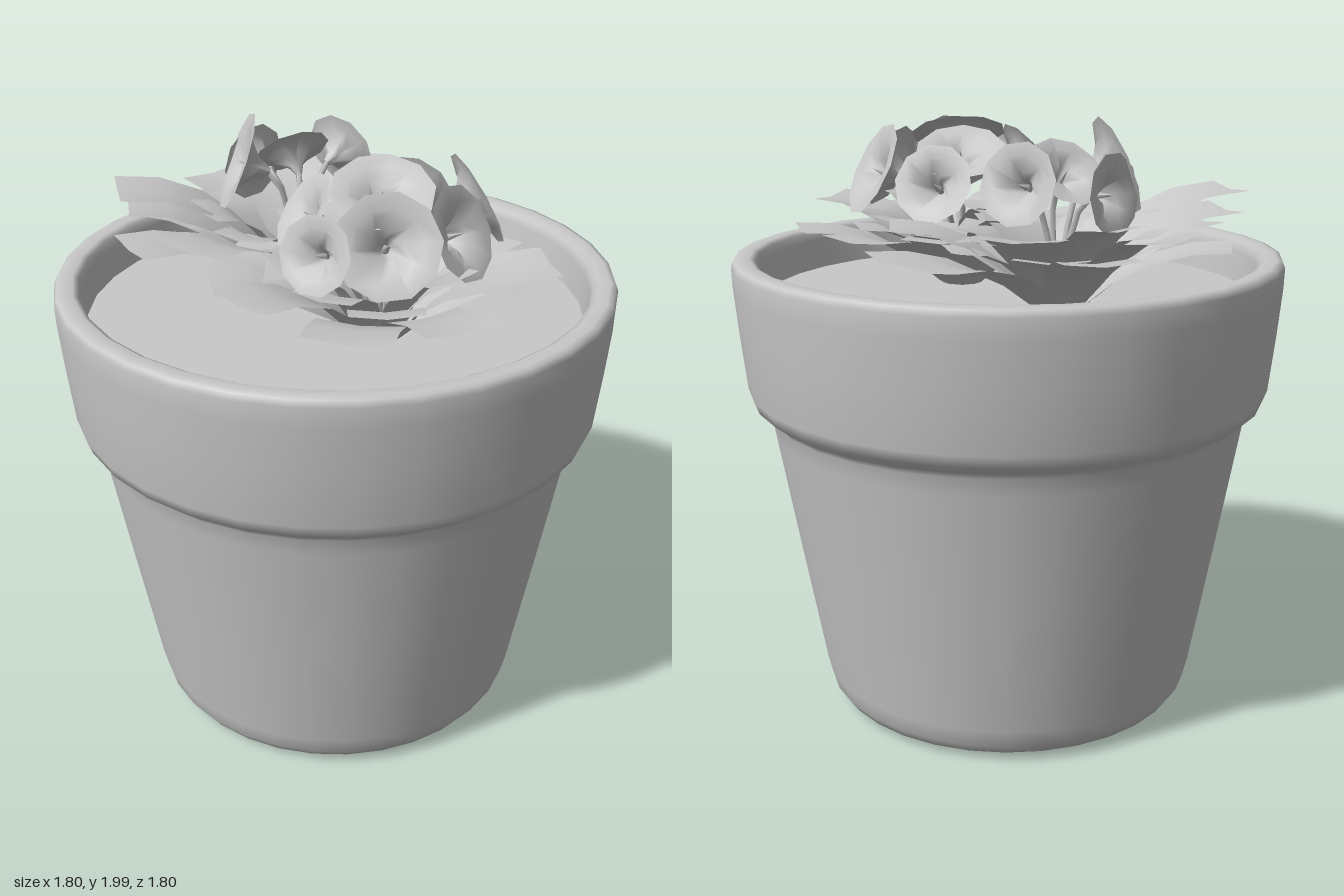
import * as THREE from 'three';

const grey = new THREE.MeshStandardMaterial({ color: 0xc8c8c8, side: THREE.DoubleSide });
grey.name = 'grey';

const SOIL = 1.4;
const v3 = (x, y, z) => new THREE.Vector3(x, y, z);

function add(parent, name, geometry) {
  const mesh = new THREE.Mesh(geometry, grey);
  mesh.name = name;
  parent.add(mesh);
  return mesh;
}

// Leaf: arched strip of cross-sections with a shallow centre fold and a blunt tip
function leafGeometry(base, tip, width) {
  const dir = v3(tip.x - base.x, 0, tip.z - base.z);
  const length = dir.length();
  dir.normalize();
  const side = v3(-dir.z, 0, dir.x);
  const pos = [], index = [];
  const rows = 4;
  for (let i = 0; i <= rows; i++) {
    const t = i / rows;
    const lift = 1 - (1 - t) ** 2.3;
    const half = width / 2 * Math.min(1, 0.4 + 1.3 * t);
    for (const s of [-1, 0, 1]) {
      const p = base.clone().addScaledVector(dir, t * length).addScaledVector(side, s * half);
      p.y = base.y + (tip.y - base.y) * lift + (s === 0 ? -0.012 : 0);
      pos.push(p.x, p.y, p.z);
    }
    if (i > 0) for (const k of [0, 1]) {
      const a = (i - 1) * 3 + k, b = i * 3 + k;
      index.push(a, a + 1, b, a + 1, b + 1, b);
    }
  }
  const g = new THREE.BufferGeometry();
  g.setAttribute('position', new THREE.Float32BufferAttribute(pos, 3));
  g.setIndex(index);
  g.computeVertexNormals();
  return g;
}

// Blossom: trumpet opening along +y, with a five-armed throat
function blossomGeometry() {
  const profile = [[0.012, -0.12], [0.03, -0.08], [0.065, -0.04], [0.11, -0.015], [0.16, -0.012]]
    .map(([r, y]) => new THREE.Vector2(r, y));
  const g = new THREE.LatheGeometry(profile, 10);
  const p = g.attributes.position;
  for (let i = 0; i < p.count; i++) {
    const arm = Math.floor(i / 5) % 2;
    const k = i % 5 === 2 ? (arm ? 1.35 : 0.7) : 1;
    p.setXYZ(i, p.getX(i) * k, p.getY(i), p.getZ(i) * k);
  }
  g.computeVertexNormals();
  return g;
}

// Ring of leaves on an ellipse, with heights and widths that repeat in a cycle
function addLeafRing(group, name, root, { count, rx, rz, turn, heights, width }) {
  for (let i = 0; i < count; i++) {
    const a = (i + turn) / count * Math.PI * 2;
    const reach = i % 2 ? 0.97 : 1.03;
    const x = root.x + Math.cos(a) * rx * reach, z = root.z + Math.sin(a) * rz * reach;
    const start = root.clone().lerp(v3(x, SOIL, z), 0.1);
    add(group, name, leafGeometry(start, v3(x, heights[i % heights.length], z), width + 0.03 * (i % 2)));
  }
}

// Flower with stamen and stem, facing away from the heart of the plant
function addFlower(group, blossom, root, heart, [x, y, z, r]) {
  const centre = v3(x, y, z), size = r / 0.16;
  const n = centre.clone().sub(heart).normalize();
  const flower = new THREE.Group();
  flower.name = 'flower';
  flower.position.copy(centre);
  flower.quaternion.setFromUnitVectors(v3(0, 1, 0), n);
  flower.scale.setScalar(size);
  add(flower, 'blossom', blossom);
  add(flower, 'stamen', new THREE.ConeGeometry(0.014, 0.08, 4)).position.y = -0.05;
  group.add(flower);

  const neck = centre.clone().addScaledVector(n, -0.11 * size);
  const bend = neck.clone().addScaledVector(n, -0.08);
  const curve = new THREE.QuadraticBezierCurve3(root, bend, neck);
  add(group, 'stem', new THREE.TubeGeometry(curve, 5, 0.01, 5));
}

// Flowers: x, y, z, radius
const frontPlant = {
  name: 'frontPlant', root: v3(0.03, SOIL, 0.24), heart: v3(0.05, 1.65, 0.2),
  outer: { count: 10, rx: 0.54, rz: 0.49, turn: 0.5, heights: [1.61, 1.68, 1.63], width: 0.24 },
  flowers: [
    [-0.2, 1.83, 0.17, 0.13], [0.12, 1.87, 0.1, 0.15], [0, 1.91, 0.31, 0.16], [0.37, 1.81, 0.26, 0.16],
    [-0.08, 1.81, 0.5, 0.16], [0.2, 1.79, 0.46, 0.15], [-0.27, 1.78, 0.4, 0.12], [0.28, 1.78, 0.01, 0.13],
  ],
};
const backPlant = {
  name: 'backPlant', root: v3(0, SOIL, -0.3), heart: v3(0, 1.75, -0.25),
  outer: { count: 13, rx: 0.59, rz: 0.45, turn: 0.3, heights: [1.61, 1.67, 1.63, 1.7], width: 0.24 },
  flowers: [
    [-0.08, 1.77, -0.48, 0.13], [0, 1.84, -0.34, 0.13], [0.2, 1.81, -0.35, 0.13], [-0.21, 1.84, -0.32, 0.165],
  ],
};

function buildPlant({ name, root, heart, outer, flowers }, blossom) {
  const group = new THREE.Group();
  group.name = name;
  addLeafRing(group, 'outerLeaf', root, outer);
  addLeafRing(group, 'innerLeaf', root,
    { count: 11, rx: 0.35, rz: 0.32, turn: 0.4, heights: [1.61, 1.66, 1.7], width: 0.2 });
  for (const f of flowers) addFlower(group, blossom, root, heart, f);
  return group;
}

export function createModel() {
  const model = new THREE.Group();
  model.name = 'pottedFlowers';

  // Pot with a thick collar and inner wall
  const profile = [
    [0, 0], [0.35, 0.003], [0.56, 0.012], [0.6, 0.025], [0.625, 0.06], [0.64, 0.12], [0.715, 0.55],
    [0.785, 0.96], [0.795, 1.02], [0.81, 1.04], [0.85, 1.07], [0.865, 1.11], [0.885, 1.3],
    [0.898, 1.45], [0.9, 1.515], [0.892, 1.535], [0.875, 1.54], [0.84, 1.54],
    [0.822, 1.53], [0.815, 1.5], [0.8, 1.36],
  ].map(([r, y]) => new THREE.Vector2(r, y));
  add(model, 'pot', new THREE.LatheGeometry(profile, 32));

  // Soil
  const soil = add(model, 'soil', new THREE.CircleGeometry(0.805, 32));
  soil.rotation.x = -Math.PI / 2;
  soil.position.y = SOIL;

  // Raised leaf at the back
  const backLeaf = leafGeometry(backPlant.root, v3(-0.57, 1.76, -0.44), 0.25);
  add(model, 'raisedLeaf', backLeaf);

  const blossom = blossomGeometry();
  for (const plant of [frontPlant, backPlant]) model.add(buildPlant(plant, blossom));
  return model;
}
